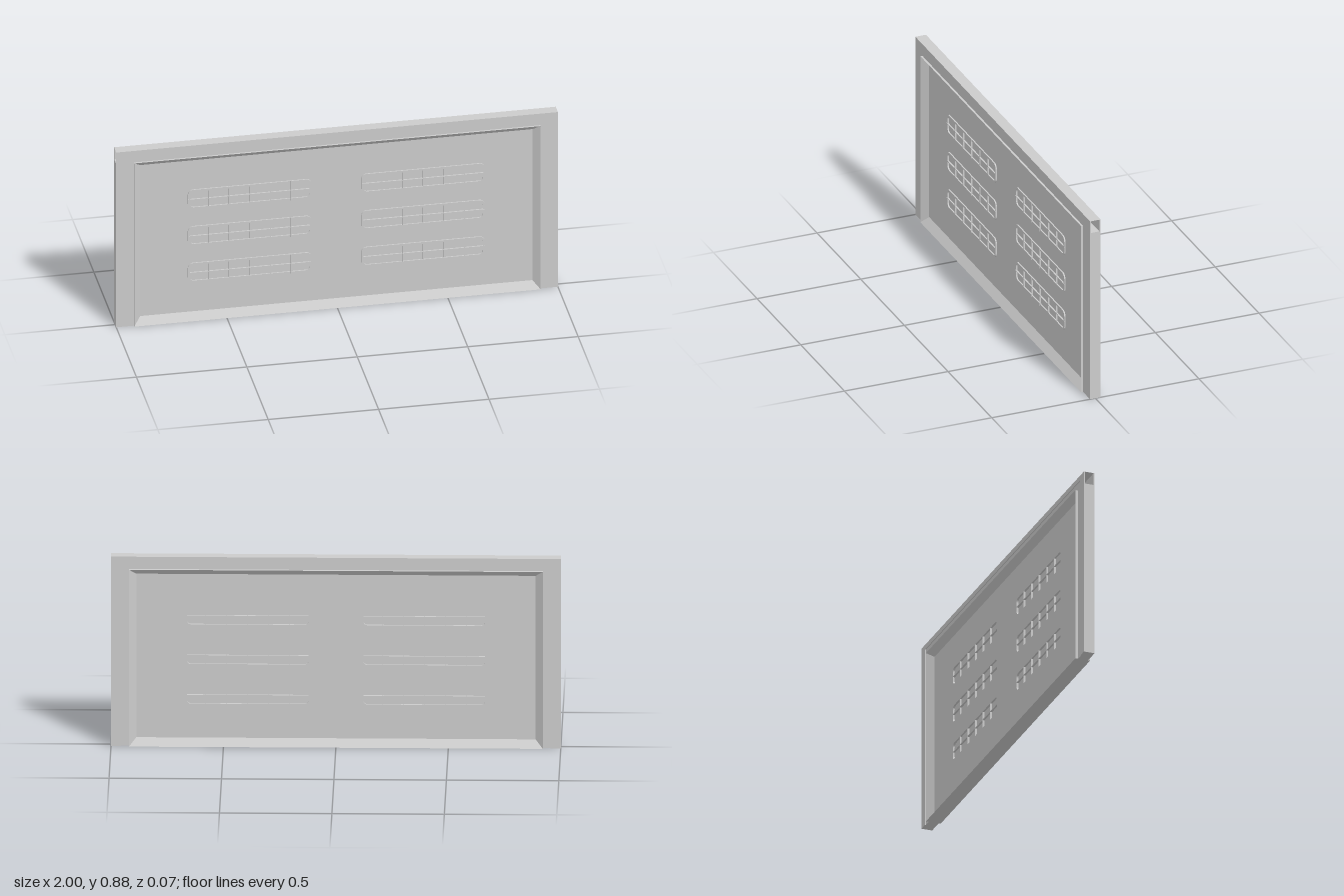
import * as THREE from 'three';

const material = new THREE.MeshStandardMaterial({ color: 0xcccccc, flatShading: true, side: THREE.DoubleSide });

function add(group, name, geometry, x = 0, y = 0, z = 0) {
  const mesh = new THREE.Mesh(geometry, material);
  mesh.name = name;
  mesh.position.set(x, y, z);
  group.add(mesh);
  return mesh;
}

// Box given by its limits on each axis
function block(group, name, x0, x1, y0, y1, z0, z1) {
  return add(group, name, new THREE.BoxGeometry(x1 - x0, y1 - y0, z1 - z0),
    (x0 + x1) / 2, (y0 + y1) / 2, (z0 + z1) / 2);
}

// Rounded rectangle outline centred on (cx, cy)
function roundedRect(cx, cy, w, h, r, Type = THREE.Shape) {
  const s = new Type();
  const x = w / 2 - r, y = h / 2 - r;
  s.absarc(cx + x, cy + y, r, 0, Math.PI / 2);
  s.absarc(cx - x, cy + y, r, Math.PI / 2, Math.PI);
  s.absarc(cx - x, cy - y, r, Math.PI, Math.PI * 1.5);
  s.absarc(cx + x, cy - y, r, Math.PI * 1.5, Math.PI * 2);
  s.closePath();
  return s;
}

function extrude(shape, z0, z1) {
  return new THREE.ExtrudeGeometry(shape, { depth: z1 - z0, bevelEnabled: false, curveSegments: 4 })
    .translate(0, 0, z0);
}

// Skin joining rectangular sections [halfWidth, bottom, top, z]
function rectLoft(sections) {
  const points = [];
  const loops = sections.map(([w, b, t, z]) => [[-w, b, z], [w, b, z], [w, t, z], [-w, t, z]]);
  for (let i = 0; i + 1 < loops.length; i++) {
    for (let k = 0; k < 4; k++) {
      const n = (k + 1) % 4;
      const a = loops[i][k], b = loops[i][n], c = loops[i + 1][n], d = loops[i + 1][k];
      points.push(...a, ...b, ...c, ...a, ...c, ...d);
    }
  }
  const g = new THREE.BufferGeometry();
  g.setAttribute('position', new THREE.Float32BufferAttribute(points, 3));
  g.computeVertexNormals();
  return g;
}

export function createModel() {
  const model = new THREE.Group();
  model.name = 'ventedPanel';
  const H = 0.883, rimTop = 0.825, slotW = 0.56, slotH = 0.097;

  // Side posts with a stepped trim on the back
  for (const s of [-1, 1]) {
    const post = (name, a, b, y1, z0, z1) =>
      block(model, name, Math.min(s * a, s * b), Math.max(s * a, s * b), 0, y1, z0, z1);
    post('sidePost', 0.92, 1, rimTop, -0.0215, 0.0255);
    post('backSideTrim', 0.955, 1, H, -0.0255, -0.0215);
  }

  // Top channel, open at both ends
  block(model, 'topFrontPlate', -1, 1, rimTop, H, 0.0215, 0.0255);
  block(model, 'topBackPlate', -1, 1, rimTop, H, -0.0215, -0.0195);
  block(model, 'backTopTrim', -0.955, 0.955, 0.86, H, -0.0255, -0.0215);
  add(model, 'topCap', new THREE.PlaneGeometry(2, 0.051).rotateX(-Math.PI / 2), 0, H, 0);

  // Raised rim sloping in to the panel, on both faces
  const rim = rectLoft([
    [0.92, 0, rimTop, 0],
    [0.92, 0, rimTop, 0.035],
    [0.888, 0.035, 0.798, 0.006],
  ]);
  add(model, 'frontRim', rim);
  add(model, 'backRim', rim).rotation.y = Math.PI;

  // Panel with six slots
  const panel = new THREE.Shape([[-0.89, 0.033], [0.89, 0.033], [0.89, 0.8], [-0.89, 0.8]]
    .map(([x, y]) => new THREE.Vector2(x, y)));
  for (const x of [-0.3925, 0.3925]) {
    for (const y of [0.2325, 0.4175, 0.6025]) {
      panel.holes.push(roundedRect(x, y, slotW, slotH, 0.025, THREE.Path));

      const vent = new THREE.Group();
      vent.name = 'vent';
      vent.position.set(x, y, 0);
      model.add(vent);

      // Lip, backing pane and thin dividing fins
      const lip = roundedRect(0, 0, slotW, slotH, 0.025);
      lip.holes.push(roundedRect(0, 0, slotW - 0.018, slotH - 0.018, 0.018, THREE.Path));
      add(vent, 'ventLip', extrude(lip, -0.006, 0.012));
      add(vent, 'ventPane', extrude(roundedRect(0, 0, slotW - 0.01, slotH - 0.01, 0.02), 0.003, 0.006));
      block(vent, 'ventFin', -slotW / 2, slotW / 2, -0.0015, 0.0015, -0.006, 0.013);
      for (let i = 1; i < 6; i++) {
        const fx = -slotW / 2 + (i * slotW) / 6;
        block(vent, 'ventDivider', fx - 0.0015, fx + 0.0015, -slotH / 2, slotH / 2, -0.006, 0.013);
      }
    }
  }
  add(model, 'panel', extrude(panel, -0.006, 0.006));

  return model;
}
